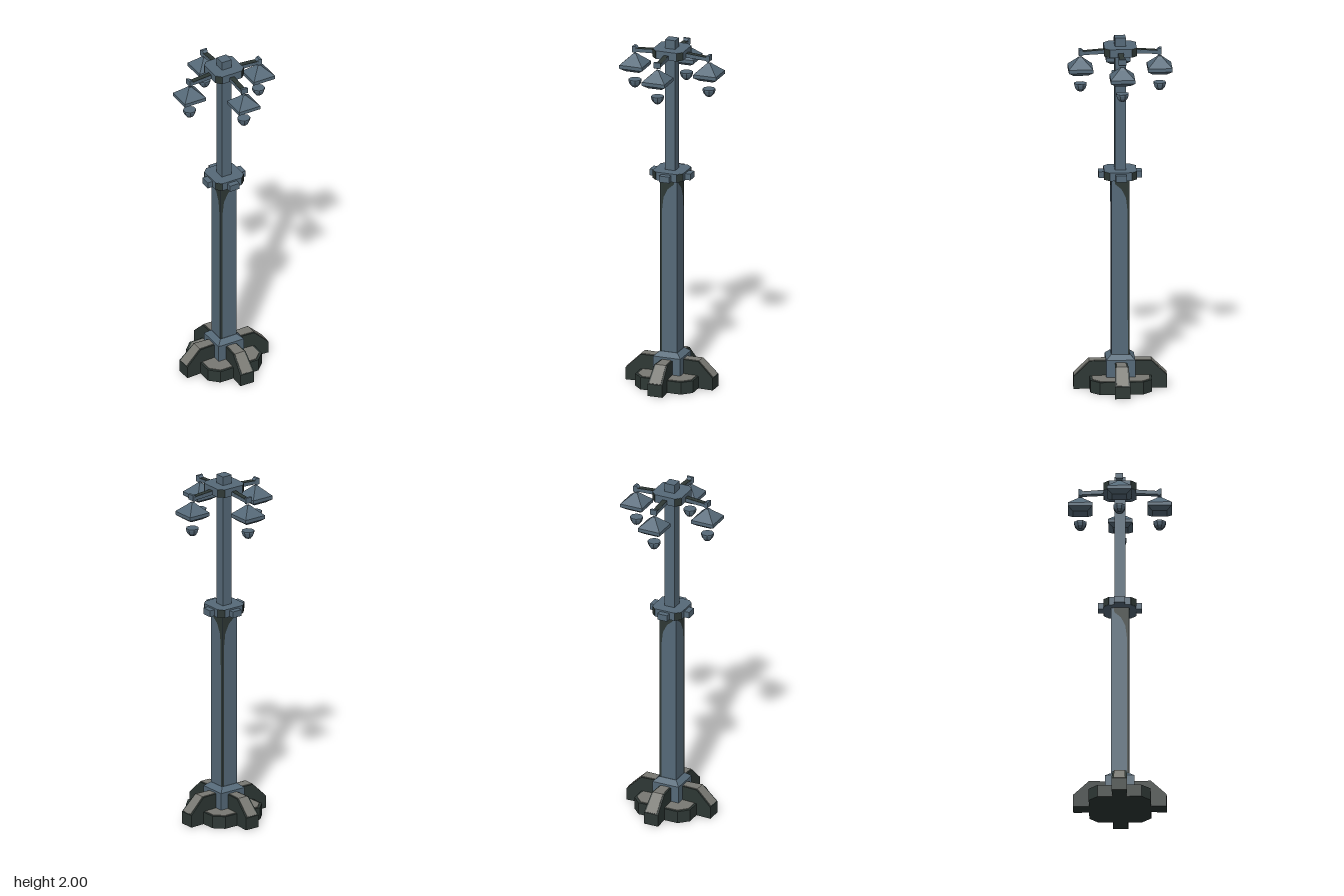
import * as THREE from 'three';

const mat = (name, color) => {
  const m = new THREE.MeshStandardMaterial({ color, flatShading: true });
  m.name = name;
  return m;
};

export function createModel() {
  const model = new THREE.Group();
  model.name = 'streetLamp';
  const steel = mat('blue grey steel', 0x566a79);
  const dark = mat('dark iron', 0x2e3835);
  const stone = mat('warm grey stone', 0x797973);

  const add = (parent, name, geo, material, x = 0, y = 0, z = 0) => {
    const m = new THREE.Mesh(geo, material);
    m.name = name;
    m.position.set(x, y, z);
    parent.add(m);
    return m;
  };
  const group = (parent, name, turn = 0) => {
    const g = new THREE.Group();
    g.name = name;
    g.rotation.y = turn;
    parent.add(g);
    return g;
  };
  const shape = (pts) => new THREE.Shape(pts.map(([x, y]) => new THREE.Vector2(x, y)));
  const box = (w, h, d) => new THREE.BoxGeometry(w, h, d);

  // Square with cut corners: r is the half width, c the half length of a flat side
  const octagon = (r, c, h) =>
    new THREE.ExtrudeGeometry(
      shape([[r, -c], [r, c], [c, r], [-c, r], [-r, c], [-r, -c], [-c, -r], [c, -r]]),
      { depth: h, bevelEnabled: false }
    ).rotateX(-Math.PI / 2);

  // Square section following a profile of [half width, height]
  const squareLoft = (profile) =>
    new THREE.LatheGeometry(profile.map(([r, y]) => new THREE.Vector2(r * Math.SQRT2, y)), 4)
      .rotateY(Math.PI / 4);

  // Side profile [radius, height] given a width that grows outwards, pointing along +x
  const wedge = (pts, narrow, wide, r0, r1) => {
    const g = new THREE.ExtrudeGeometry(shape(pts), { depth: 2, bevelEnabled: false }).translate(0, 0, -1);
    const p = g.attributes.position;
    for (let i = 0; i < p.count; i++) {
      const t = (p.getX(i) - r0) / (r1 - r0);
      p.setZ(i, p.getZ(i) * (narrow + (wide - narrow) * t));
    }
    g.computeVertexNormals();
    return g;
  };

  // Foundation slab with a paler top
  add(model, 'baseSlab', octagon(0.17, 0.12, 0.07), dark);
  add(model, 'baseTop', octagon(0.158, 0.112, 0.004), stone, 0, 0.069, 0);

  // Plinth and lower shaft
  add(model, 'plinth', squareLoft([[0, 0.01], [0.08, 0.01], [0.08, 0.17], [0.052, 0.195], [0, 0.195]]), steel);
  add(model, 'lowerShaft', box(0.1, 1.02, 0.1), steel, 0, 0.7, 0);

  // Upper shaft
  add(model, 'upperShaft', box(0.06, 0.78, 0.06), steel, 0, 1.61, 0);

  // Collars with dark cut corners
  const collar = (name, y, h) => {
    const g = group(model, name);
    g.position.y = y;
    add(g, 'collarRing', octagon(0.089, 0.06, h), steel);
    for (let i = 0; i < 4; i++) {
      const corner = group(g, 'collarCorner', Math.PI / 4 + (i * Math.PI) / 2);
      add(corner, 'cornerPlate', box(0.004, h - 0.002, 0.041), dark, 0.149 / Math.SQRT2, h / 2, 0);
    }
  };
  collar('middleCollar', 1.198, 0.047);
  collar('topCollar', 1.903, 0.047);

  // Dark staining that spreads under the middle collar, at two opposite corners
  const stain = [[-0.05, 0.195], [-0.04, 0.195], [-0.038, 1.02], [-0.03, 1.09], [-0.005, 1.14], [0.03, 1.17], [0.035, 1.2], [-0.05, 1.2]];

  const footSide = [[0.04, 0], [0.257, 0], [0.257, 0.07], [0.17, 0.155], [0.04, 0.155]];
  const footTop = [[0.08, 0.154], [0.169, 0.154], [0.253, 0.072], [0.256, 0.075], [0.171, 0.158], [0.08, 0.158]];
  const armSide = [[0.08, 1.906], [0.215, 1.9], [0.215, 1.918], [0.08, 1.928]];
  const tipSide = [[0.2, 1.9], [0.214, 1.893], [0.228, 1.9], [0.228, 1.932], [0.214, 1.932], [0.2, 1.922]];
  const shade = [[0, 1.79], [0.04, 1.79], [0.067, 1.81], [0.067, 1.83], [0.022, 1.872], [0.008, 1.887], [0, 1.887]];
  const bowl = [[0, 1.692], [0.017, 1.694], [0.03, 1.71], [0.036, 1.728], [0.036, 1.737], [0, 1.737]];

  // Everything repeated on the four sides
  for (let i = 0; i < 4; i++) {
    const side = group(model, 'side' + (i + 1), (i * Math.PI) / 2);

    // Buttress foot with pale upper faces
    add(side, 'buttress', wedge(footSide, 0.031, 0.043, 0.04, 0.257), dark);
    add(side, 'buttressTop', wedge(footTop, 0.026, 0.033, 0.08, 0.257), stone);

    // Collar tab
    add(side, 'collarTab', box(0.04, 0.036, 0.06), steel, 0.1, 1.218, 0);

    // Bracket arm, its dark upper face and flared tip
    add(side, 'arm', wedge(armSide, 0.015, 0.015, 0.08, 0.215), steel);
    const armTop = add(side, 'armTop', box(0.125, 0.003, 0.028), dark, 0.147, 1.9235, 0);
    armTop.rotation.z = -0.074;
    add(side, 'armTip', wedge(tipSide, 0.011, 0.021, 0.2, 0.228), steel);

    // Lamp shade and the bowl hanging below it
    add(side, 'lampShade', squareLoft(shade), steel, 0.218, 0, 0);
    add(side, 'lampBowl',
      new THREE.LatheGeometry(bowl.map(([r, y]) => new THREE.Vector2(r, y)), 8).rotateY(Math.PI / 8),
      steel, 0.218, 0, 0);

    // Shaft staining, mirrored on alternate faces
    const face = group(side, 'shaftFace');
    const s = i % 2 ? -1 : 1;
    add(face, 'shaftStain', new THREE.ShapeGeometry(shape(stain.map(([x, y]) => [x * s, y]))), dark, 0, 0, 0.0515);
  }

  return model;
}
